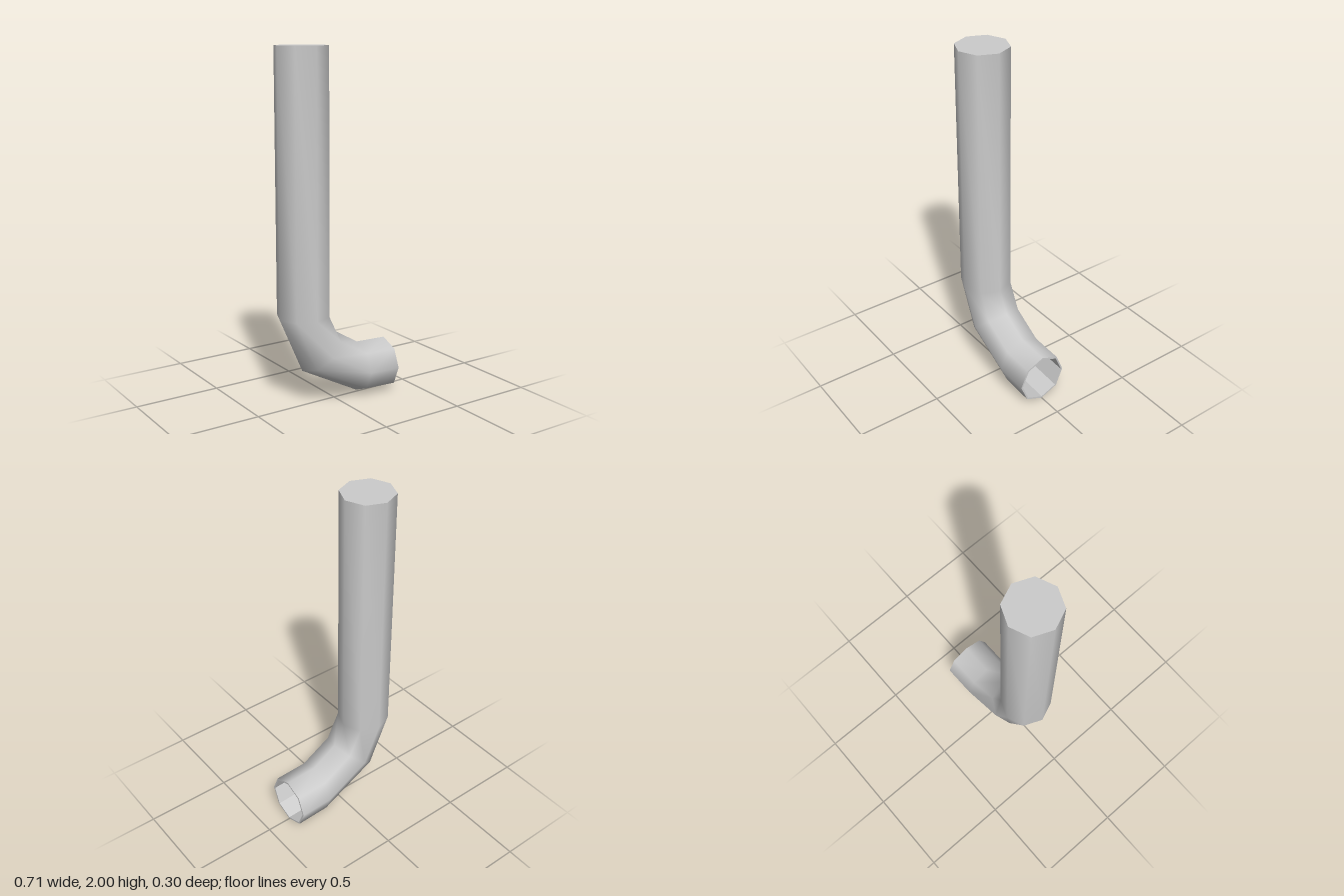
import * as THREE from 'three';

const SIDES = 8;
const RADIUS = 0.149;

// Each ring of the bent pipe: centre (x, y) and the half-axis towards the inside of the bend
const RINGS = [
  { x: -0.206, y: 2.0, hx: 0.149, hy: 0 },
  { x: -0.206, y: 0.53, hx: 0.149, hy: 0 },
  { x: -0.102, y: 0.304, hx: 0.112, hy: 0.096 },
  { x: 0.158, y: 0.161, hx: 0.002, hy: 0.148 },
  { x: 0.354, y: 0.152, hx: 0, hy: 0.149 },
];

// Shrinks a ring to the inner wall
const inset = (r, s = 0.93) => ({ ...r, hx: r.hx * s, hy: r.hy * s, rz: RADIUS * s });

// Skins a sequence of octagonal rings
function loft(rings, smooth) {
  const pos = [], index = [];
  for (const r of rings) {
    for (let j = 0; j < SIDES; j++) {
      const a = (j / SIDES) * Math.PI * 2, c = Math.cos(a);
      pos.push(r.x + r.hx * c, r.y + r.hy * c, (r.rz ?? RADIUS) * Math.sin(a));
    }
  }
  for (let i = 0; i < rings.length - 1; i++) {
    for (let j = 0; j < SIDES; j++) {
      const k = (j + 1) % SIDES;
      const a = i * SIDES + j, b = i * SIDES + k;
      index.push(a, b, a + SIDES, b, b + SIDES, a + SIDES);
    }
  }
  let geo = new THREE.BufferGeometry();
  geo.setAttribute('position', new THREE.Float32BufferAttribute(pos, 3));
  geo.setIndex(index);
  if (!smooth) geo = geo.toNonIndexed();
  geo.computeVertexNormals();
  return geo;
}

export function createModel() {
  const group = new THREE.Group();
  group.name = 'drainPipe';
  const material = new THREE.MeshStandardMaterial({ color: 0xcccccc });
  const add = (name, geo) => {
    const mesh = new THREE.Mesh(geo, material);
    mesh.name = name;
    group.add(mesh);
    return mesh;
  };

  // Outer skin from the top down to the spout
  add('pipeWall', loft(RINGS, true));

  // Hollow inside, from the spout back up
  const inner = RINGS.map((r) => inset(r)).reverse();
  inner[inner.length - 1].y = 1.99;
  add('innerWall', loft(inner, false));

  // Thin lip at the open spout
  const mouth = RINGS[RINGS.length - 1];
  add('spoutRim', loft([mouth, inset(mouth)], false));

  // Closed top
  const cap = add('topCap', new THREE.CircleGeometry(RADIUS, SIDES).rotateX(-Math.PI / 2));
  cap.position.set(RINGS[0].x, RINGS[0].y, 0);

  return group;
}
